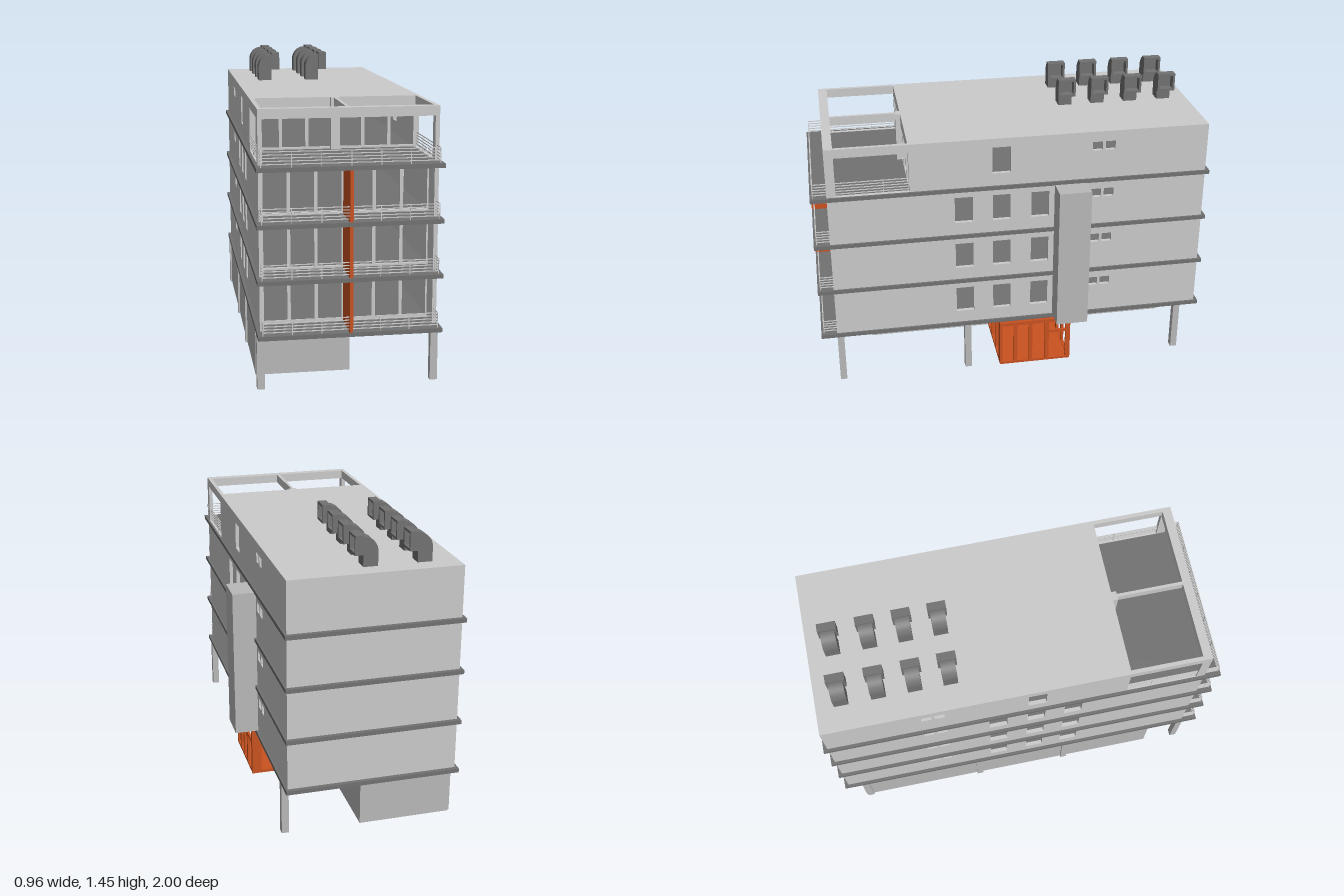
import * as THREE from 'three';

const mat = (name, color) => {
  const m = new THREE.MeshStandardMaterial({ color });
  m.name = name;
  return m;
};

export function createModel() {
  const wall = mat('light wall', 0xcbcbcb);
  const concrete = mat('concrete', 0xb9b9b9);
  const dark = mat('dark grey', 0x727272);
  const orange = mat('orange', 0xca5220);

  const model = new THREE.Group();
  model.name = 'building';

  const add = (name, geo, material, parent = model) => {
    const m = new THREE.Mesh(geo, material);
    m.name = name;
    parent.add(m);
    return m;
  };
  // Box given by its limits on each axis
  const box = (name, material, x0, x1, y0, y1, z0, z1, parent) => {
    const g = new THREE.BoxGeometry(x1 - x0, y1 - y0, z1 - z0);
    g.translate((x0 + x1) / 2, (y0 + y1) / 2, (z0 + z1) / 2);
    return add(name, g, material, parent);
  };
  const rect = (T, u0, u1, v0, v1) => {
    const s = new T();
    s.moveTo(u0, v0);
    s.lineTo(u1, v0);
    s.lineTo(u1, v1);
    s.lineTo(u0, v1);
    s.closePath();
    return s;
  };
  // Rectangular panel with rectangular holes, each as [u0, u1, v0, v1]
  const panel = (outer, holes, depth) => {
    const s = rect(THREE.Shape, ...outer);
    s.holes = holes.map(h => rect(THREE.Path, ...h));
    return new THREE.ExtrudeGeometry(s, { depth, bevelEnabled: false });
  };
  // Panel in the z-y plane whose outer face is at x
  const sidePanel = (outer, holes, depth, x) =>
    panel(outer, holes, depth).rotateY(-Math.PI / 2).translate(x, 0, 0);

  const L = -0.465, R = 0.36, T = 0.02, BACK = -0.98, FRONT = 0.92;
  const floors = [0.28, 0.537, 0.794, 1.05];

  // Row of vertical bays between two slabs
  const glazing = (y0, y1, z) => {
    const g = new THREE.Group();
    g.name = 'windowFrames';
    model.add(g);
    for (const [a, b] of [[L + T, -0.063], [-0.047, R - T]]) {
      const w = (b - a) / 3, f = 0.008;
      const holes = [0, 1, 2].map(i => [a + i * w + f, a + (i + 1) * w - f, y0 + 0.01, y1 - 0.018]);
      add('windowFrame', panel([a, b, y0, y1], holes, 0.015).translate(0, 0, z - 0.015), wall, g);
    }
  };

  // Balcony railing: front run and two returns
  const railing = (y, zBack) => {
    const g = new THREE.Group();
    g.name = 'railing';
    model.add(g);
    const x0 = L + 0.005, x1 = R - 0.008, z = 0.988, t = 0.004;
    for (let i = 0; i < 5; i++) {
      const h = y + 0.012 + i * 0.014;
      box('frontRail', wall, x0, x1, h, h + t, z - t, z, g);
      for (const x of [x0, x1 - t]) box('sideRail', wall, x, x + t, h, h + t, zBack, z, g);
    }
    for (let i = 0; i <= 6; i++) {
      const x = x0 + (x1 - x0 - t) * i / 6;
      box('railPost', wall, x, x + t, y, y + 0.07, z - t, z, g);
    }
    if (zBack < 0.9) for (const x of [x0, x1 - t]) box('railPost', wall, x, x + t, y, y + 0.07, 0.643, 0.647, g);
  };

  floors.forEach((y, i) => {
    const top = i === 3;
    const y1 = top ? 1.3 : floors[i + 1] - 0.019;
    box('floorSlab', dark, -0.48, 0.37, y - 0.02, y, -1, 1);

    // Side walls with window openings
    const tall = top ? [0.11] : [0.3, 0.11, -0.085];
    const holes = tall.map(z => [z - 0.09, z, y + 0.066, y + 0.204]);
    for (const z of [-0.39, -0.455]) holes.push([z - 0.05, z, y + 0.15, y + 0.196]);
    if (top) holes.push([0.52, 0.875, y + 0.001, 1.255]);
    add('rightWall', sidePanel([BACK, FRONT, y, y1], holes, T, L + T), wall);
    add('leftWall', sidePanel([BACK, FRONT, y, y1], holes, T, R), wall);
    box('backWall', wall, L + T, R - T, y, y1, BACK, BACK + T);

    glazing(y, top ? 1.255 : y1, top ? 0.52 : 0.815);
    railing(y, top ? 0.52 : FRONT);
    if (!top) box('balconyDivider', orange, -0.063, -0.047, y, y1, 0.812, 1);
  });

  // Roof and open terrace frame
  box('roof', wall, L + T, R - T, 1.255, 1.3, BACK + T, 0.52);
  box('terraceFrontBeam', wall, L + T, R - T, 1.255, 1.3, 0.875, FRONT);
  box('terraceMiddleBeam', wall, -0.063, -0.048, 1.255, 1.3, 0.52, 0.875);
  box('terraceColumn', wall, -0.077, -0.033, 1.05, 1.3, 0.52, 0.545);

  // Lift shaft on the side
  box('liftShaft', concrete, R, 0.477, 0.282, 1.032, -0.365, -0.203);

  // Ground level block and columns
  box('groundBlock', concrete, -0.47, -0.016, 0, 0.228, -0.91, 0.73);
  const column = (x, z, w = 0.035) => box('column', concrete, x, x + w, 0, 0.26, z - 0.017, z + 0.017);
  for (const z of [0.903, 0.245, -0.245, -0.885]) {
    column(-0.48, z);
    if (z !== -0.245) column(0.335, z);
  }
  for (const z of [0.57, -0.555]) column(-0.077, z);

  // Entrance lobby with framed openings
  const lobby = new THREE.Group();
  lobby.name = 'entranceLobby';
  model.add(lobby);
  const bays = [[0, 0.095], [0.112, 0.214], [0.23, 0.332]].map(([a, b]) => [a, b, 0.016, 0.242]);
  for (const z of [0.063, -0.3])
    add('lobbyFrame', panel([-0.015, 0.368, 0, 0.259], bays, 0.015).translate(0, 0, z), orange, lobby);
  const sideBays = [[0.005, 0.067], [-0.078, -0.015], [-0.163, -0.096]].map(([a, b]) => [a, b, 0.014, 0.235]);
  sideBays.push([-0.275, -0.185, 0.012, 0.17], [-0.275, -0.185, 0.185, 0.237]);
  add('lobbySideFrame', sidePanel([-0.3, 0.078, 0, 0.255], sideBays, 0.012, 0.38), orange, lobby);
  box('lobbyInnerWall', orange, -0.015, -0.003, 0, 0.259, -0.285, 0.063, lobby);
  box('lobbyFloor', orange, -0.003, 0.368, 0, 0.012, -0.285, 0.063, lobby);

  // Roof vents: square elbow ducts with a flared mouth
  const duct = new THREE.Shape();
  duct.moveTo(0, 0);
  duct.lineTo(0.07, 0);
  duct.lineTo(0.07, 0.139);
  duct.absarc(0.07, 0.069, 0.07, Math.PI / 2, Math.PI, false);
  duct.closePath();
  const ductGeo = new THREE.ExtrudeGeometry(duct, { depth: 0.07, bevelEnabled: false, curveSegments: 8 });
  ductGeo.translate(0, 0, -0.035);
  const mouthGeo = sidePanel([-0.045, 0.045, 0.058, 0.149], [[-0.034, 0.034, 0.069, 0.138]], 0.042, 0.112);
  for (const x of [-0.342, -0.085]) for (const z of [-0.857, -0.678, -0.503, -0.332]) {
    const vent = new THREE.Group();
    vent.name = 'roofVent';
    vent.position.set(x, 1.3, z);
    add('ventDuct', ductGeo, dark, vent);
    add('ventMouth', mouthGeo, dark, vent);
    model.add(vent);
  }

  return model;
}
